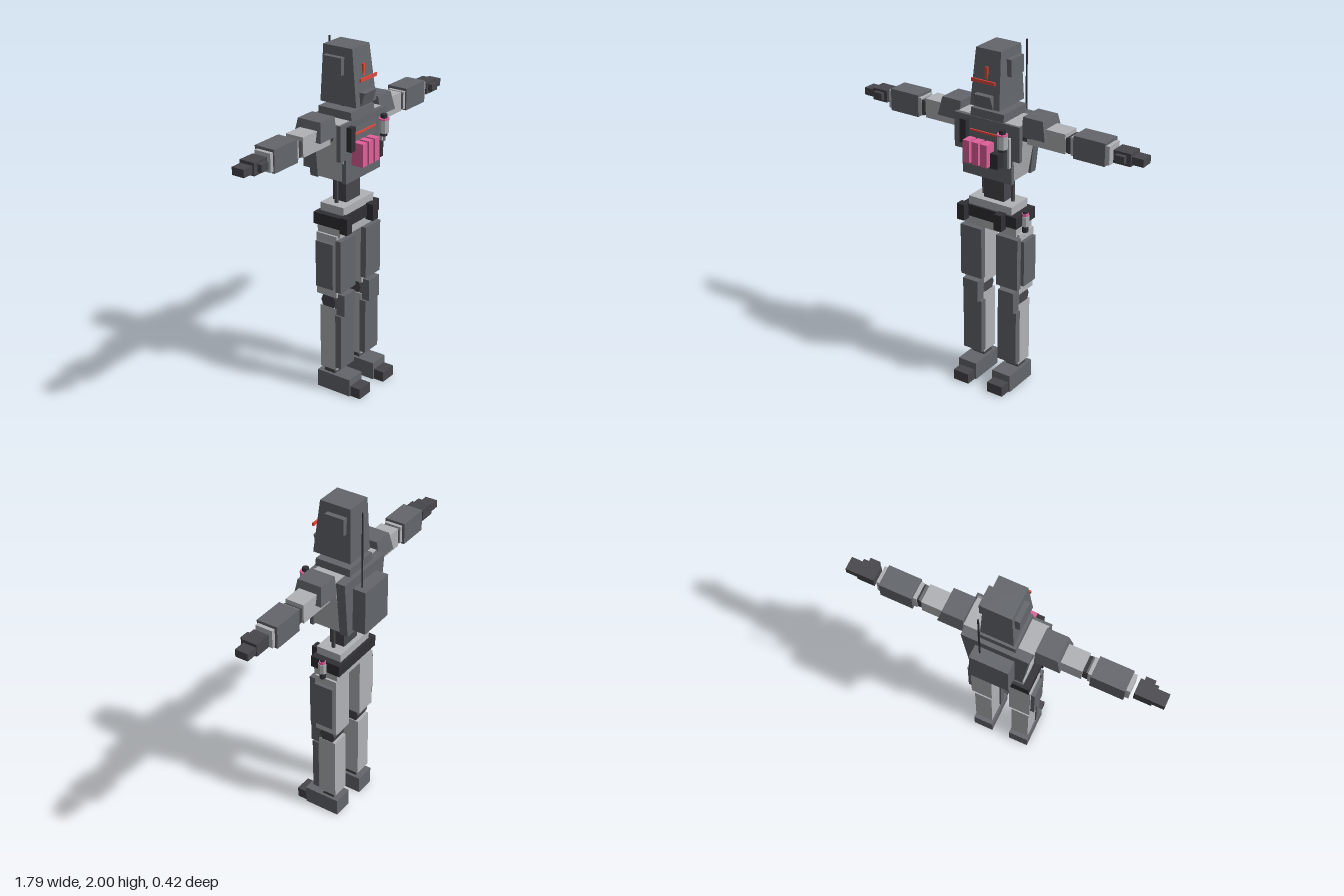
import * as THREE from 'three';

const mat = (color) => new THREE.MeshStandardMaterial({ color, flatShading: true });
const LIGHT = mat(0xb0b2b6), MID = mat(0x63666c), DARK = mat(0x47474c);
const BLACK = mat(0x303035), PINK = mat(0xe0609a), RED = mat(0xe04a3c);

function add(parent, name, geometry, material) {
  const mesh = new THREE.Mesh(geometry, material);
  mesh.name = name;
  parent.add(mesh);
  return mesh;
}

// Box from its limits; the optional top limits [x0, x1, z0, z1] taper it.
function box(parent, name, material, [x0, x1], [y0, y1], [z0, z1], top) {
  const xa = Math.min(x0, x1), xb = Math.max(x0, x1);
  const g = new THREE.BoxGeometry(1, 1, 1);
  const p = g.attributes.position;
  for (let i = 0; i < p.count; i++) {
    const up = p.getY(i) > 0;
    const [a, b, c, d] = up && top ? top : [xa, xb, z0, z1];
    p.setXYZ(i, p.getX(i) > 0 ? b : a, up ? y1 : y0, p.getZ(i) > 0 ? d : c);
  }
  g.computeVertexNormals();
  return add(parent, name, g, material);
}

// Cylinder along the named axis.
function rod(parent, name, material, r, length, [x, y, z], axis = 'y', sides = 8) {
  const g = new THREE.CylinderGeometry(r, r, length, sides);
  if (axis === 'x') g.rotateZ(Math.PI / 2);
  if (axis === 'z') g.rotateX(Math.PI / 2);
  g.translate(x, y, z);
  return add(parent, name, g, material);
}

function group(parent, name) {
  const g = new THREE.Group();
  g.name = name;
  parent.add(g);
  return g;
}

function buildHead(root) {
  const head = group(root, 'head');
  box(head, 'helmet', MID, [-0.093, 0.093], [1.69, 2], [-0.105, 0.127], [-0.078, 0.078, -0.095, 0.09]);
  box(head, 'mouthGuard', MID, [-0.055, 0.055], [1.69, 1.765], [0.1, 0.13], [-0.052, 0.052, 0.1, 0.153]);
  box(head, 'visorBar', RED, [-0.075, 0.075], [1.83, 1.848], [0.134, 0.143]);
  box(head, 'visorStem', RED, [-0.009, 0.009], [1.845, 1.91], [0.09, 0.112]);
  for (const s of [-1, 1])
    box(head, 'earPanel', MID, [s * 0.08, s * 0.11], [1.855, 1.95], [-0.075, 0.042]);
  rod(head, 'neck', DARK, 0.04, 0.08, [0, 1.68, 0]);
}

function buildTorso(root) {
  const torso = group(root, 'torso');
  box(torso, 'chestCore', LIGHT, [-0.14, 0.14], [1.28, 1.62], [-0.08, 0.095], [-0.2, 0.2, -0.08, 0.095]);
  box(torso, 'chestPlate', MID, [-0.21, 0.21], [1.42, 1.62], [0.085, 0.11]);
  box(torso, 'abdomenPlate', MID, [-0.16, 0.16], [1.28, 1.42], [0.085, 0.108]);
  box(torso, 'backPlate', MID, [-0.155, 0.155], [1.28, 1.62], [-0.13, -0.08], [-0.19, 0.19, -0.135, -0.08]);
  box(torso, 'collar', MID, [-0.11, 0.11], [1.5, 1.665], [-0.11, 0.118], [-0.105, 0.105, -0.11, 0.102]);
  box(torso, 'chestStripe', RED, [-0.1, 0.1], [1.54, 1.55], [0.11, 0.122]);
  box(torso, 'backpack', MID, [-0.11, 0.11], [1.3, 1.56], [-0.21, -0.11]);
  rod(torso, 'antenna', BLACK, 0.005, 0.44, [0.07, 1.78, -0.163], 'y', 6);

  // Pouches and gear on the chest
  for (const x of [-0.085, -0.028, 0.028])
    box(torso, 'chestPouch', PINK, [x - 0.021, x + 0.021], [1.375, 1.505], [0.108, 0.18]);
  box(torso, 'darkPouch', BLACK, [0.06, 0.107], [1.375, 1.46], [0.108, 0.165]);
  box(torso, 'chestStrap', BLACK, [-0.155, -0.115], [1.465, 1.6], [0.108, 0.14]);
  rod(torso, 'canister', LIGHT, 0.029, 0.08, [0.13, 1.54, 0.152]);
  rod(torso, 'canisterBand', PINK, 0.031, 0.008, [0.13, 1.578, 0.152]);
  rod(torso, 'canisterCap', BLACK, 0.018, 0.025, [0.13, 1.592, 0.152]);
  rod(torso, 'canisterBase', BLACK, 0.02, 0.02, [0.13, 1.492, 0.152]);
  box(torso, 'canisterLever', LIGHT, [0.145, 0.156], [1.38, 1.55], [0.108, 0.13]);

  // Waist with its two support rods
  box(torso, 'waist', DARK, [-0.065, 0.065], [1.12, 1.29], [-0.047, 0.043]);
  for (const s of [-1, 1]) rod(torso, 'waistRod', DARK, 0.011, 0.17, [s * 0.095, 1.205, 0]);
}

function buildHips(root) {
  const hips = group(root, 'hips');
  box(hips, 'pelvis', LIGHT, [-0.14, 0.14], [1.0, 1.13], [-0.075, 0.08]);
  box(hips, 'belt', BLACK, [-0.18, 0.18], [1.015, 1.083], [-0.093, 0.092]);
  box(hips, 'hipBlock', LIGHT, [-0.17, 0.17], [0.96, 1.015], [-0.073, 0.078]);
  for (const x of [-0.162, 0.085])
    box(hips, 'beltPouch', BLACK, [x - 0.024, x + 0.024], [0.997, 1.092], [0.085, 0.133]);
  rod(hips, 'beltCanister', LIGHT, 0.024, 0.06, [0.185, 1.04, 0.012]);
  rod(hips, 'beltCanisterBand', PINK, 0.02, 0.014, [0.185, 1.077, 0.012]);
  rod(hips, 'beltCanisterCap', BLACK, 0.014, 0.014, [0.185, 1.089, 0.012]);
  rod(hips, 'beltCanisterBase', BLACK, 0.018, 0.04, [0.185, 0.993, 0.012]);
}

function buildArm(root, s) {
  const arm = group(root, s > 0 ? 'leftArm' : 'rightArm');
  const x = (a, b) => [s * a, s * b];
  const padTop = s > 0 ? [0.2, 0.322, -0.08, 0.065] : [-0.322, -0.2, -0.08, 0.065];
  box(arm, 'shoulderPad', MID, x(0.2, 0.345), [1.56, 1.665], [-0.095, 0.08], padTop);
  rod(arm, 'shoulderJoint', DARK, 0.055, 0.08, [s * 0.2, 1.555, 0], 'x');
  box(arm, 'upperArm', LIGHT, x(0.215, 0.45), [1.51, 1.62], [-0.06, 0.05]);
  rod(arm, 'elbow', DARK, 0.046, 0.095, [s * 0.47, 1.56, -0.003], 'z');
  box(arm, 'forearm', LIGHT, x(0.48, 0.71), [1.51, 1.612], [-0.055, 0.045]);
  box(arm, 'forearmGuard', MID, x(0.5, 0.688), [1.5, 1.627], [-0.07, 0.053]);
  box(arm, 'palm', DARK, x(0.73, 0.83), [1.53, 1.6], [-0.05, 0.04]);
  box(arm, 'fingers', DARK, x(0.82, 0.897), [1.54, 1.583], [-0.045, 0.03]);
  box(arm, 'thumb', DARK, x(0.75, 0.805), [1.545, 1.587], [0.03, 0.065]);
}

function buildLeg(root, s) {
  const leg = group(root, s > 0 ? 'leftLeg' : 'rightLeg');
  const x = (a, b) => [s * a, s * b];
  box(leg, 'thigh', LIGHT, x(0.055, 0.183), [0.6, 0.97], [-0.073, 0.063]);
  box(leg, 'thighPlate', MID, x(0.05, 0.19), [0.64, 0.95], [0.06, 0.095]);
  box(leg, 'thighSidePlate', MID, x(0.18, 0.206), [0.655, 0.928], [-0.062, 0.053]);
  rod(leg, 'knee', DARK, 0.05, 0.1, [s * 0.12, 0.56, -0.003], 'x');
  box(leg, 'kneePlate', MID, x(0.07, 0.17), [0.49, 0.62], [0.04, 0.105]);
  box(leg, 'shin', LIGHT, x(0.065, 0.172), [0.135, 0.525], [-0.058, 0.053]);
  box(leg, 'shinPlate', MID, x(0.055, 0.18), [0.158, 0.49], [0.05, 0.09]);
  rod(leg, 'ankle', DARK, 0.038, 0.085, [s * 0.118, 0.11, -0.003], 'x');
  box(leg, 'foot', MID, x(0.057, 0.178), [0, 0.105], [-0.075, 0.145]);
  box(leg, 'toe', DARK, x(0.067, 0.168), [0, 0.062], [0.14, 0.21]);
}

export function createModel() {
  const root = new THREE.Group();
  root.name = 'robotTrooper';
  buildHead(root);
  buildTorso(root);
  buildHips(root);
  for (const s of [-1, 1]) {
    buildArm(root, s);
    buildLeg(root, s);
  }
  return root;
}
